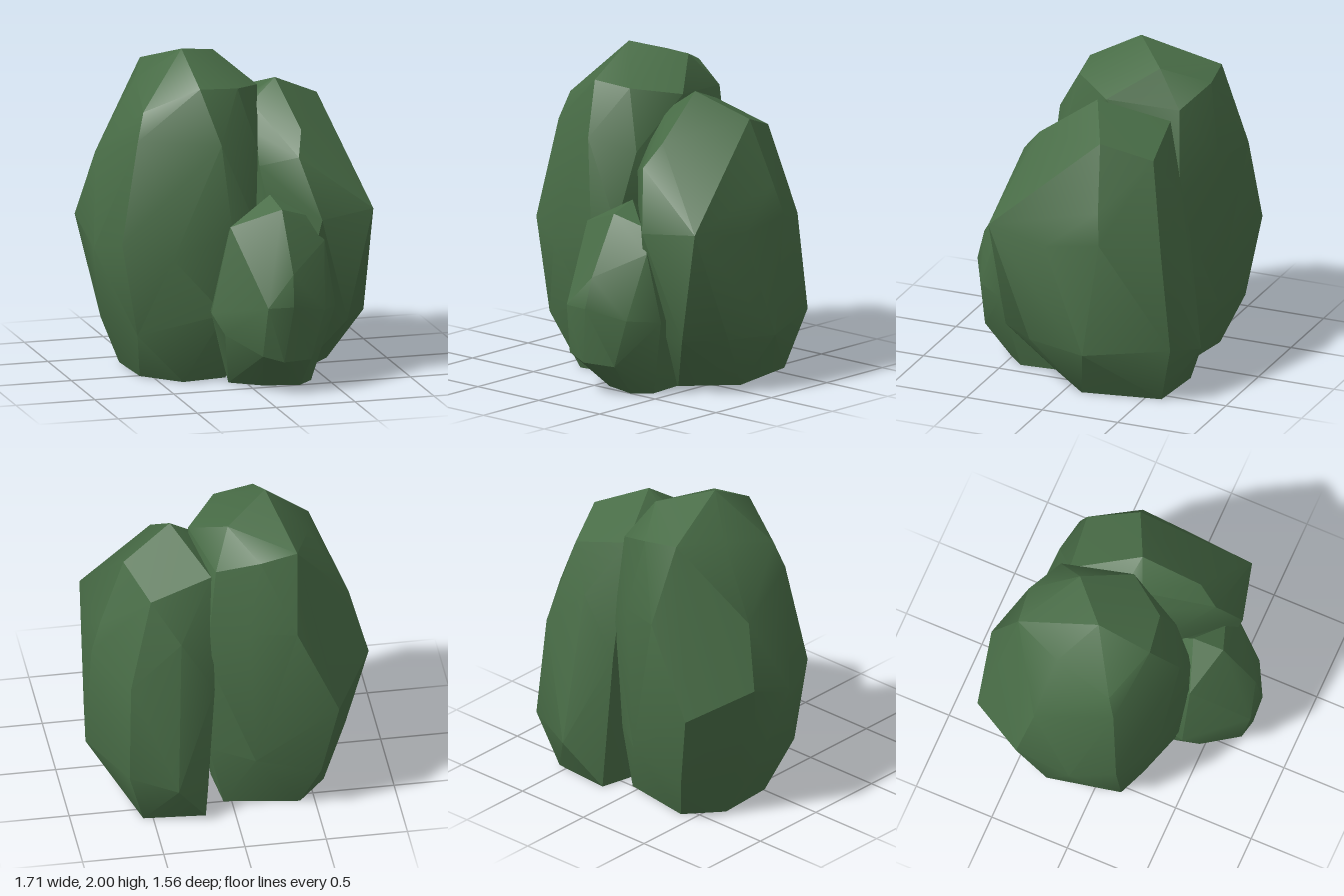
import * as THREE from 'three';
import { ConvexGeometry } from 'three/addons/geometries/ConvexGeometry.js';
import { toCreasedNormals } from 'three/addons/utils/BufferGeometryUtils.js';

const material = new THREE.MeshStandardMaterial({ color: 0x486c46, side: THREE.DoubleSide });

// A faceted foliage clump: the convex skin around a few corner points [x, y, z], open at the ground.
function clump(name, corners) {
  const hull = new ConvexGeometry(corners.map((c) => new THREE.Vector3(...c)));
  const p = hull.getAttribute('position');
  const skin = [];
  for (let i = 0; i < p.count; i += 3) {
    if (Math.max(p.getY(i), p.getY(i + 1), p.getY(i + 2)) < 0.01) continue;
    for (let j = i; j < i + 3; j++) skin.push(p.getX(j), p.getY(j), p.getZ(j));
  }
  const geometry = new THREE.BufferGeometry();
  geometry.setAttribute('position', new THREE.Float32BufferAttribute(skin, 3));
  const mesh = new THREE.Mesh(toCreasedNormals(geometry, THREE.MathUtils.degToRad(30)), material);
  mesh.name = name;
  return mesh;
}

// Corners run from the ground up.
const tall = [
  // ground outline
  [-0.59, 0, -0.36], [-0.57, 0, 0.01], [-0.36, 0, 0.23], [-0.08, 0, 0.19], [0.08, 0, -0.2], [0.05, 0, -0.5], [-0.41, 0, -0.57],
  // lower belly
  [-0.74, 0.32, -0.25], [-0.64, 0.3, 0.2], [-0.15, 0.45, 0.41], [0.14, 0.4, -0.5], [-0.12, 0.4, -0.68], [-0.52, 0.29, -0.69],
  // widest part
  [-0.86, 0.94, -0.4], [-0.84, 0.8, -0.06], [-0.74, 0.88, 0.21], [-0.46, 0.8, 0.36], [-0.1, 0.95, 0.42], [0.06, 0.98, 0.37],
  [0.19, 1.0, -0.1], [0.16, 1.1, -0.55], [-0.62, 0.78, -0.76],
  // shoulders
  [-0.75, 1.34, -0.33], [-0.36, 1.37, -0.78], [-0.08, 1.35, -0.7], [-0.16, 1.5, 0.38], [0.11, 1.43, 0.24],
  // crown
  [-0.62, 1.5, 0.14], [-0.57, 1.67, 0.09], [-0.51, 1.79, -0.28], [-0.25, 1.82, 0.22], [0, 1.8, 0.18], [0.2, 1.75, -0.08],
  [-0.39, 1.84, -0.59], [-0.16, 1.81, -0.62], [0.1, 1.71, -0.52], [0, 1.92, -0.35], [-0.27, 2, -0.11],
];

const side = [
  // ground outline
  [0.65, 0, -0.11], [0.39, 0, 0.17], [0.2, 0, 0.14], [0.12, 0, -0.35], [0.18, 0, -0.63], [0.56, 0, -0.6],
  // lower belly
  [0.85, 0.33, -0.2], [0.8, 0.36, 0.17], [0.63, 0.36, 0.4], [0.32, 0.4, 0.4], [0.37, 0.29, -0.78], [0.66, 0.37, -0.7],
  // widest part
  [0.83, 1.06, -0.3], [0.83, 1.0, 0.06], [0.78, 1.06, 0.45], [0.43, 1.03, 0.54], [0.16, 1.1, 0.28],
  [0.64, 0.98, -0.63], [0.33, 1.27, -0.63], [0.12, 0.9, -0.6],
  // crown
  [0.77, 1.25, -0.27], [0.32, 1.4, 0.41], [0.37, 1.54, 0.29], [0.12, 1.32, 0.24], [0.13, 1.5, 0.13], [0.14, 1.66, 0],
  [0.12, 1.64, -0.47], [0.5, 1.53, -0.52], [0.62, 1.64, -0.22], [0.17, 1.7, -0.1], [0.31, 1.79, -0.07],
];

const small = [
  // ground outline
  [-0.1, 0, 0.32], [0.08, 0, 0.45], [0.3, 0, 0.5], [0.4, 0, 0.4], [0.38, 0, 0.15], [-0.06, 0, 0.15],
  // lower belly
  [-0.18, 0.35, 0.52], [0.0, 0.25, 0.72], [0.13, 0.21, 0.74], [0.32, 0.2, 0.67],
  // widest part
  [-0.24, 0.47, 0.43], [0.02, 0.56, 0.77], [0.18, 0.56, 0.78], [0.25, 0.58, 0.71], [0.41, 0.5, 0.66], [0.53, 0.48, 0.48],
  [0.48, 0.45, 0.2], [-0.2, 0.5, 0.2],
  // crown
  [0.19, 0.75, 0.73], [0.45, 0.9, 0.52], [-0.13, 0.8, 0.48], [-0.12, 1, 0.43], [0.35, 1.05, 0.46],
  [0.18, 1.11, 0.52], [0.16, 1.16, 0.33], [0.15, 1.0, 0.15],
];

export function createModel() {
  const bush = new THREE.Group();
  bush.name = 'bush';
  bush.add(clump('tallClump', tall), clump('sideClump', side), clump('smallFrontClump', small));
  return bush;
}
